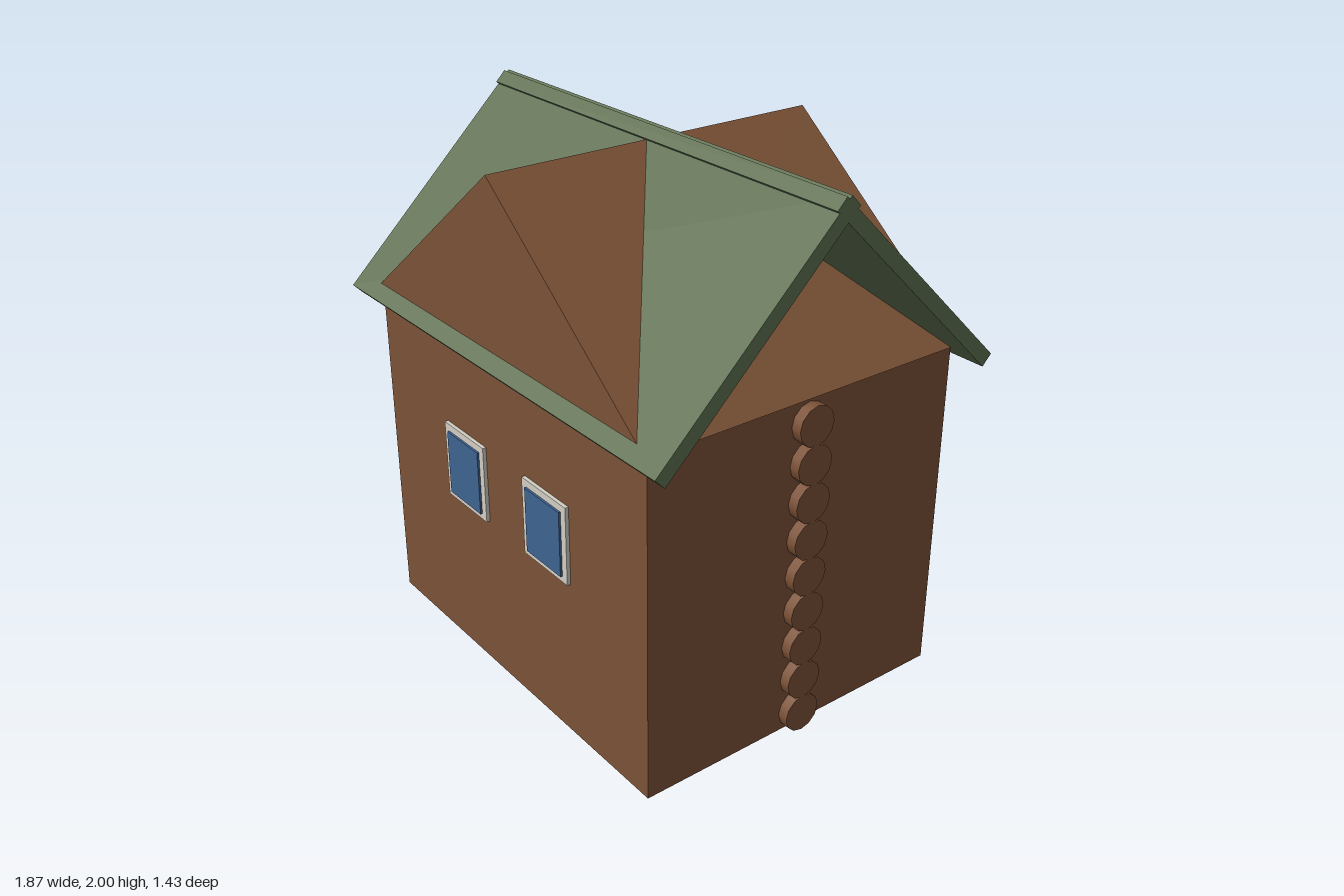
import * as THREE from 'three';

const paint = (name, color) => {
  const m = new THREE.MeshStandardMaterial({ color });
  m.name = name;
  return m;
};

export function createModel() {
  const house = new THREE.Group();
  house.name = 'logHouse';

  const wood = paint('brownWood', 0x7b5136);
  const green = paint('greenRoof', 0x5f7051);
  const white = paint('whiteFrame', 0xd2cec3);
  const blue = paint('blueGlass', 0x3f638f);

  const add = (name, geometry, material, x = 0, y = 0, z = 0) => {
    const mesh = new THREE.Mesh(geometry, material);
    mesh.name = name;
    mesh.position.set(x, y, z);
    house.add(mesh);
    return mesh;
  };
  const box = (name, w, h, d, material, x, y, z) =>
    add(name, new THREE.BoxGeometry(w, h, d), material, x, y, z);

  // Walls
  box('walls', 1.62, 1.3, 1.3, wood, 0, 0.655, 0);

  // Column of logs running through the house, showing on both sides
  const logGeometry = new THREE.CylinderGeometry(0.074, 0.074, 1.7, 12).rotateZ(Math.PI / 2);
  for (let i = 0; i < 9; i++) add(`log${i + 1}`, logGeometry, wood, 0, 0.074 + i * 0.142, 0);

  // Triangular prism standing on the walls, breaking through both roof slopes
  const gable = new THREE.Shape([
    new THREE.Vector2(-0.83, 1.305),
    new THREE.Vector2(0.83, 1.305),
    new THREE.Vector2(0, 1.955),
  ]);
  add('gablePrism', new THREE.ExtrudeGeometry(gable, { depth: 1.34, bevelEnabled: false }), wood, 0, 0, -0.67);

  // Two roof slabs crossing at the ridge
  const pitch = THREE.MathUtils.degToRad(44.2);
  for (const s of [1, -1]) {
    const slab = box(s > 0 ? 'frontRoof' : 'backRoof', 1.865, 0.053, 1.011, green, 0, 1.6285, s * 0.334);
    slab.rotation.x = s * pitch;
  }

  // Front windows
  for (const s of [1, -1]) {
    const side = s > 0 ? 'left' : 'right';
    box(`${side}WindowFrame`, 0.26, 0.3, 0.02, white, s * 0.255, 0.778, 0.654);
    box(`${side}WindowPane`, 0.205, 0.25, 0.009, blue, s * 0.255, 0.776, 0.6675);
  }

  return house;
}
